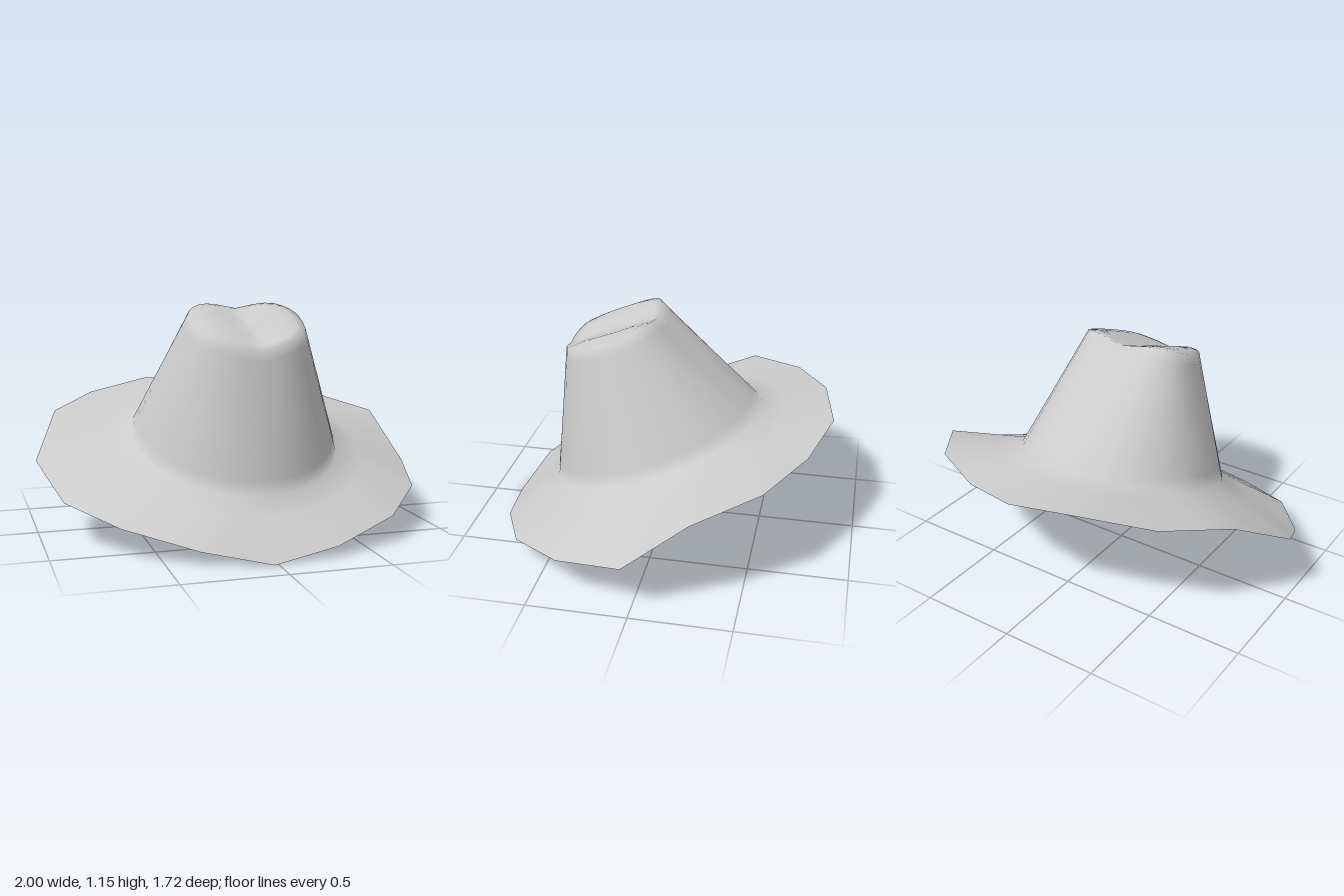
import * as THREE from 'three';

const COLS = 32;

// Brim edge, sixteen corners from the front round by the left (+x)
const RIM = [
  [-0.02, 0.01, 0.855], [0.31, 0.06, 0.81], [0.66, 0.14, 0.65], [0.90, 0.215, 0.37],
  [1.0, 0.28, 0.03], [0.94, 0.515, -0.28], [0.72, 0.58, -0.58], [0.38, 0.605, -0.76],
  [0.06, 0.66, -0.86], [-0.27, 0.685, -0.80], [-0.62, 0.635, -0.63], [-0.86, 0.58, -0.35],
  [-1.0, 0.38, -0.01], [-0.90, 0.225, 0.29], [-0.68, 0.16, 0.59], [-0.35, 0.08, 0.79],
].map((p) => new THREE.Vector3(...p));

const softPow = (v, e) => Math.sign(v) * Math.abs(v) ** e;

function rimPoint(i) {
  const k = Math.floor(i / 2);
  return RIM[k].clone().lerp(RIM[(k + 1) % RIM.length], (i % 2) / 2);
}

// Where the crown meets the brim: a round ring, high at the back
function basePoint(i) {
  const a = (i / COLS) * Math.PI * 2;
  const z = 0.05 + 0.538 * Math.cos(a);
  return new THREE.Vector3(0.02 + 0.535 * Math.sin(a), 0.27 + (0.585 - z) * 0.377, z);
}

// Crown top: rounded oblong sloping down to the front, creased along the middle
function topPoint(i, scale) {
  const a = (i / COLS) * Math.PI * 2;
  const c = Math.cos(a);
  const x = 0.285 * softPow(Math.sin(a), 0.75) * (1 - 0.12 * c) * scale;
  const z = 0.28 + 0.23 * softPow(c, 0.75) * scale;
  const crease = 0.045 * Math.max(0, 1 - Math.abs(x) / 0.18);
  const shoulder = 0.02 * scale ** 6 * Math.abs(Math.sin(a));
  return new THREE.Vector3(0.03 + x, 1.005 + (0.51 - z) * 0.38 - crease - shoulder, z);
}

export function createModel() {
  const rings = [];
  const addRing = (fn) => rings.push(Array.from({ length: COLS }, (_, i) => fn(i)));

  // Brim rings, outside to inside
  for (const t of [0, 0.33, 0.67, 1]) addRing((i) => rimPoint(i).lerp(basePoint(i), t));
  const brimRings = rings.length - 1;

  // Crown wall rings, then the rings of the creased top
  for (const t of [0.1, 0.4, 0.7, 0.92]) addRing((i) => basePoint(i).lerp(topPoint(i, 1), t));
  for (const s of [1, 0.85, 0.6, 0.3]) addRing((i) => topPoint(i, s));

  const points = rings.flat();
  const centre = points.length;
  points.push(topPoint(0, 0));

  const strip = (from, to) => {
    const index = [];
    for (let r = from; r < to; r++) {
      for (let i = 0; i < COLS; i++) {
        const j = (i + 1) % COLS;
        const a = r * COLS + i, b = r * COLS + j;
        index.push(a, b, b + COLS, a, b + COLS, a + COLS);
      }
    }
    return index;
  };
  const brimIndex = strip(0, brimRings);
  const crownIndex = strip(brimRings, rings.length - 1);
  const last = (rings.length - 1) * COLS;
  for (let i = 0; i < COLS; i++) crownIndex.push(last + i, last + ((i + 1) % COLS), centre);

  // Normals are taken over the whole hat so the join stays smooth
  const whole = new THREE.BufferGeometry().setFromPoints(points);
  whole.setIndex([...brimIndex, ...crownIndex]);
  whole.computeVertexNormals();

  const material = new THREE.MeshStandardMaterial({ color: 0xcccccc, side: THREE.DoubleSide });
  const group = new THREE.Group();
  group.name = 'hat';
  for (const [name, index] of [['brim', brimIndex], ['crown', crownIndex]]) {
    const geometry = whole.clone();
    geometry.setIndex(index);
    const mesh = new THREE.Mesh(geometry, material);
    mesh.name = name;
    group.add(mesh);
  }
  return group;
}
